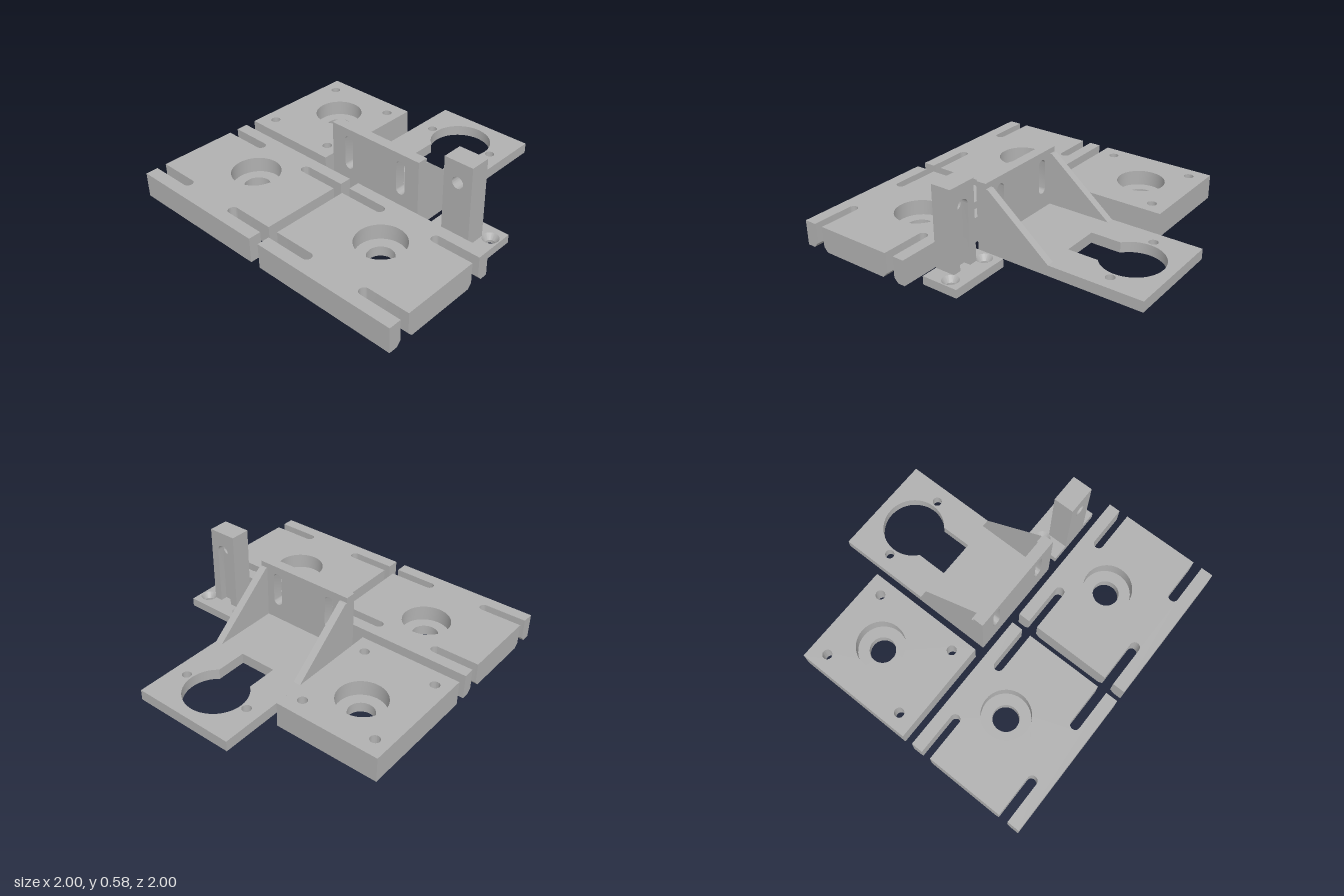
import * as THREE from 'three';
import { toCreasedNormals } from 'three/addons/utils/BufferGeometryUtils.js';

const TAU = Math.PI * 2;

// Points along an arc in 2D
function arc(cx, cy, r, from, to, n) {
  return Array.from({ length: n + 1 }, (_, i) => {
    const a = from + ((to - from) * i) / n;
    return new THREE.Vector2(cx + r * Math.cos(a), cy + r * Math.sin(a));
  });
}
const points = (...list) => list.map(([x, y]) => new THREE.Vector2(x, y));
const rect = (x0, y0, x1, y1) => points([x0, y0], [x1, y0], [x1, y1], [x0, y1]);
// Holes run clockwise, outlines counter-clockwise
const hole = (cx, cy, r) => arc(cx, cy, r, TAU, 0, 40).slice(0, 40);
const slotHole = (cx, y0, y1, r) => [
  ...arc(cx, y1 - r, r, Math.PI, 0, 16), ...arc(cx, y0 + r, r, 0, -Math.PI, 16)];

// Solid lofted through levels [height, outline, ...holes]; lies flat with v = -z
function loft(levels) {
  const pos = [];
  const p3 = (p, h) => new THREE.Vector3(p.x, h, -p.y);
  const tri = (a, b, c) => {
    const n = b.clone().sub(a).cross(c.clone().sub(a));
    if (n.length() > 1e-9) for (const p of [a, b, c]) pos.push(p.x, p.y, p.z);
  };
  const cap = ([h, outline, ...holes], up) => {
    const all = [outline, ...holes].flat().map((p) => p3(p, h));
    for (const [i, j, k] of THREE.ShapeUtils.triangulateShape(outline, holes)) {
      const [a, b, c] = [all[i], all[j], all[k]];
      const n = b.clone().sub(a).cross(c.clone().sub(a));
      if (n.y > 0 === up) tri(a, b, c); else tri(a, c, b);
    }
  };
  cap(levels[0], false);
  cap(levels[levels.length - 1], true);
  for (let l = 0; l + 1 < levels.length; l++) {
    const [h0, ...lower] = levels[l], [h1, ...upper] = levels[l + 1];
    lower.forEach((loop, k) => loop.forEach((p, i) => {
      const j = (i + 1) % loop.length;
      const a = p3(p, h0), b = p3(loop[j], h0);
      const c = p3(upper[k][j], h1), d = p3(upper[k][i], h1);
      tri(a, b, c);
      tri(a, c, d);
    }));
  }
  const g = new THREE.BufferGeometry();
  g.setAttribute('position', new THREE.Float32BufferAttribute(pos, 3));
  return toCreasedNormals(g, 0.5);
}
const prism = (h0, h1, ...loops) => loft([[h0, ...loops], [h1, ...loops]]);

// Rectangle with two open slots cut into each side
function slottedOutline(x0, x1, r) {
  const inset = 0.27 + 0.035, low = -0.888, high = -0.308;
  const rightSlot = (v) => [new THREE.Vector2(x1, v - r),
    ...arc(x1 - inset + 0.0325, v, r, -Math.PI / 2, -1.5 * Math.PI, 20), new THREE.Vector2(x1, v + r)];
  const leftSlot = (v) => [new THREE.Vector2(x0, v + r),
    ...arc(x0 + inset - 0.0325, v, r, Math.PI / 2, -Math.PI / 2, 20), new THREE.Vector2(x0, v - r)];
  return [...points([x0, -1], [x1, -1]), ...rightSlot(low), ...rightSlot(high),
    ...points([x1, -0.2], [x0, -0.2]), ...leftSlot(high), ...leftSlot(low)];
}

export function createModel() {
  const model = new THREE.Group();
  const grey = new THREE.MeshStandardMaterial({ color: 0xb0b0b0 });
  grey.name = 'plain grey';
  const add = (parent, name, geometry) => {
    const m = new THREE.Mesh(geometry, grey);
    m.name = name;
    parent.add(m);
    return m;
  };

  // Thick plates: countersunk below, stepped bore above
  const T = 0.165, SINK = 0.03, FLOOR = 0.065;
  const boredPlate = (cx, cv, cut) => loft([
    [0, 0.058, 0.083], [SINK, 0.031, 0.083], [FLOOR, 0.031, 0.083],
    [FLOOR, 0.031, 0.155], [T, 0.031, 0.155],
  ].map(([h, r, bore]) => {
    const [outline, ...holes] = cut(r);
    return [h, outline, hole(cx, cv, bore), ...holes];
  }));

  for (const s of [-1, 1]) {
    const x0 = s < 0 ? -1 : 0.035;
    add(model, s < 0 ? 'rightSlottedPlate' : 'leftSlottedPlate',
      boredPlate(s * 0.5175, -0.53, (r) => [slottedOutline(x0, x0 + 0.965, r)]));
  }
  add(model, 'fourHolePlate', boredPlate(-0.657, 0.34, (r) => [
    rect(-1, -0.13, -0.315, 0.67),
    ...[[-0.905, 0.56], [-0.41, 0.56], [-0.905, -0.02], [-0.41, -0.02]].map(([x, v]) => hole(x, v, r)),
  ]));

  // Angle bracket: base with keyhole opening
  const bracket = new THREE.Group();
  bracket.name = 'angleBracket';
  model.add(bracket);
  const mid = 0.1025, neck = Math.asin(0.125 / 0.2);
  const keyhole = [
    ...arc(mid, 0.73, 0.2, 1.5 * Math.PI - neck, -Math.PI / 2 + neck, 48),
    ...points([mid + 0.125, 0.37], [mid - 0.125, 0.37])];
  add(bracket, 'bracketBase', prism(0, 0.07, rect(-0.24, -0.13, 0.445, 1), keyhole,
    hole(mid - 0.242, 0.73, 0.03), hole(mid + 0.242, 0.73, 0.03)));

  // Upright wall with two vertical slots
  add(bracket, 'bracketWall', prism(0.06, 0.13, rect(-0.24, 0.07, 0.445, 0.455),
    slotHole(mid - 0.207, 0.175, 0.405, 0.0325),
    slotHole(mid + 0.207, 0.175, 0.405, 0.0325)).rotateX(Math.PI / 2));

  // Side gussets
  for (const x of [-0.24, 0.395]) {
    add(bracket, 'gusset', prism(x, x + 0.05,
      points([-0.06, 0.07], [0.38, 0.07], [-0.045, 0.42], [-0.06, 0.42]))
      .rotateX(Math.PI / 2).rotateY(Math.PI / 2));
  }

  // Small post bracket: foot with countersunk holes
  const post = new THREE.Group();
  post.name = 'postBracket';
  model.add(post);
  const px = 0.72;
  add(post, 'postFoot', loft([[0, 0.027], [0.02, 0.027], [0.055, 0.052]].map(([h, r]) => [
    h, rect(0.515, -0.13, 0.925, 0.115), hole(px - 0.145, 0.022, r), hole(px + 0.145, 0.022, r)])));

  // Post front with round hole, post back with a vertical groove
  add(post, 'postFront', prism(0.04, 0.13, rect(px - 0.0965, 0.055, px + 0.0965, 0.58),
    hole(px, 0.445, 0.038)).rotateX(Math.PI / 2));
  add(post, 'postGroovedBack', prism(-0.005, 0.04, [
    ...points([px - 0.0965, 0.055], [px - 0.0425, 0.055]),
    ...arc(px, 0.445, 0.0425, Math.PI, 0, 24),
    ...points([px + 0.0425, 0.055], [px + 0.0965, 0.055], [px + 0.0965, 0.58], [px - 0.0965, 0.58]),
  ]).rotateX(Math.PI / 2));

  return model;
}
